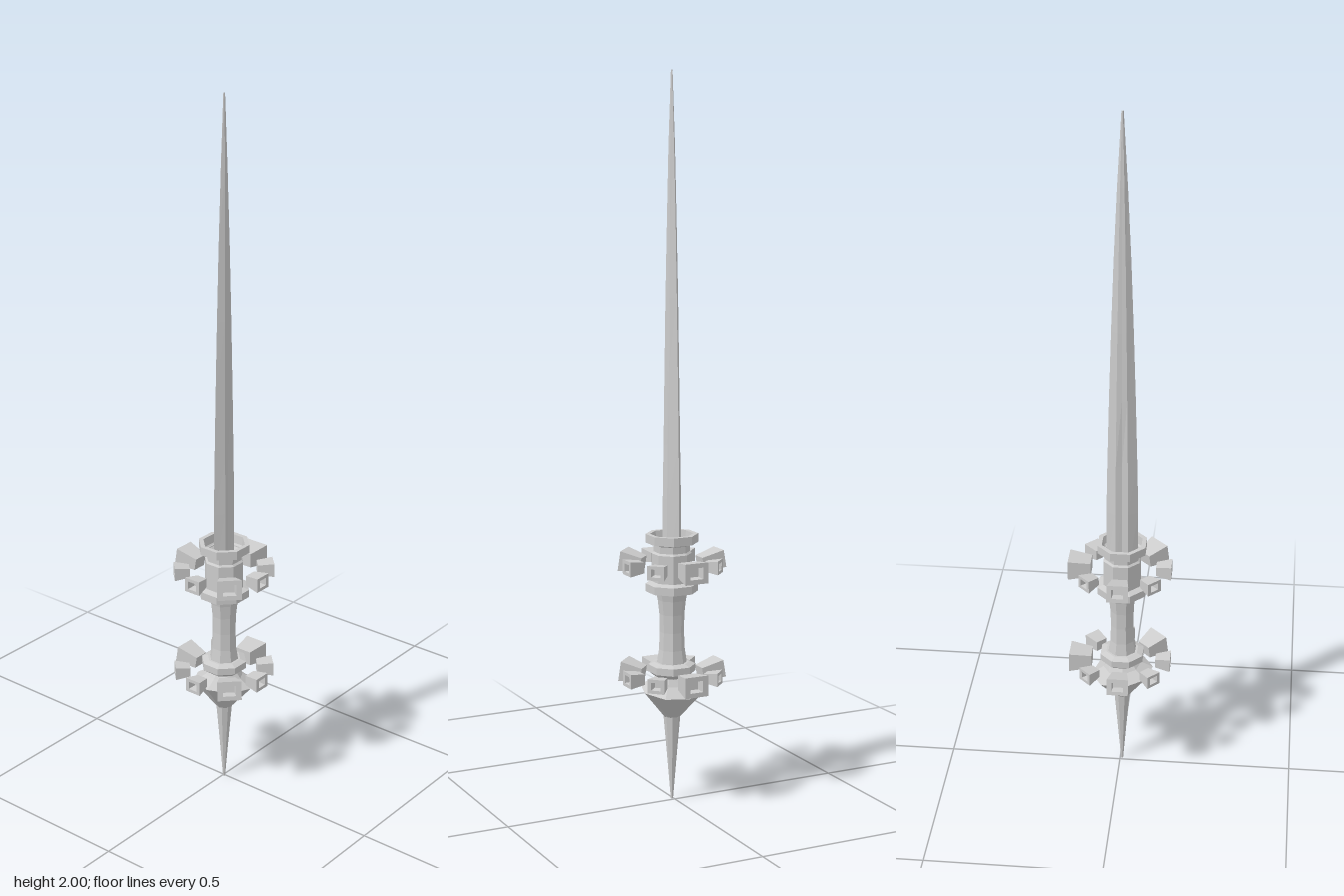
import * as THREE from 'three';

const steel = new THREE.MeshStandardMaterial({ color: 0xcccccc, flatShading: true, side: THREE.DoubleSide });

// Skin between closed loops of [x, y] points stacked along z, capped at both ends
function loft(loops) {
  const n = loops[0].points.length, pos = [], idx = [];
  loops.forEach(({ points, z }) => points.forEach(([x, y]) => pos.push(x, y, z)));
  for (let k = 0; k < loops.length - 1; k++) {
    for (let i = 0; i < n; i++) {
      const a = k * n + i, b = k * n + (i + 1) % n;
      idx.push(a, b, b + n, a, b + n, a + n);
    }
  }
  const last = (loops.length - 1) * n;
  for (let i = 1; i < n - 1; i++) idx.push(0, i + 1, i, last, last + i, last + i + 1);
  const g = new THREE.BufferGeometry();
  g.setAttribute('position', new THREE.Float32BufferAttribute(pos, 3));
  g.setIndex(idx);
  const flat = g.toNonIndexed();
  flat.computeVertexNormals();
  return flat;
}

// Eight-sided turned part; profile radii are measured to the flats
function turned(name, profile, twist = Math.PI / 8) {
  const pts = profile.map(([r, y]) => new THREE.Vector2(r / Math.cos(Math.PI / 8), y));
  const mesh = new THREE.Mesh(new THREE.LatheGeometry(pts, 8, twist), steel);
  mesh.name = name;
  return mesh;
}

// Flared block with a recessed outer face, pointing along +z
function flaredBlock(r0, r1, w0, w1) {
  const rect = (w) => [[-w, -w * 0.82], [w, -w * 0.82], [w, w * 0.82], [-w, w * 0.82]];
  const geometry = loft([
    { points: rect(w0), z: r0 },
    { points: rect(w1), z: r1 },
    { points: rect(w1 * 0.55), z: r1 },
    { points: rect(w1 * 0.48), z: r1 - 0.025 },
  ]);
  return new THREE.Mesh(geometry, steel);
}

// Ring of eight blocks: angle step, inner/outer radius, inner/outer half width, tilt
const BLOCKS = [
  [0, 0.092, 0.137, 0.018, 0.025, 0],
  [1, 0.093, 0.138, 0.018, 0.024, 0],
  [2, 0.087, 0.15, 0.025, 0.035, 0],
  [3, 0.097, 0.139, 0.015, 0.023, 0],
  [4, 0.086, 0.15, 0.021, 0.03, 0.17],
  [5, 0.097, 0.139, 0.016, 0.023, 0],
  [6, 0.096, 0.139, 0.016, 0.025, 0],
  [7, 0.083, 0.142, 0.022, 0.034, 0.15],
];

function blockRing(name, y) {
  const ring = new THREE.Group();
  ring.name = name;
  for (const [step, r0, r1, w0, w1, tilt] of BLOCKS) {
    const arm = new THREE.Group();
    arm.name = 'ringBlock';
    arm.rotation.y = step * Math.PI / 4;
    const block = flaredBlock(r0, r1, w0, w1);
    block.name = 'flaredBlock';
    // Tilt about the middle of the block
    const mid = (r0 + r1) / 2;
    block.geometry.translate(0, 0, -mid);
    block.position.z = mid;
    block.rotation.x = -tilt;
    arm.add(block);
    ring.add(arm);
  }
  ring.position.y = y;
  return ring;
}

export function createModel() {
  const model = new THREE.Group();
  model.name = 'spikedDagger';
  const body = new THREE.Group();
  body.name = 'body';
  body.position.set(-0.006, 0, 0.006);
  model.add(body);

  // Blade: flattened section with a shallow central groove; [y, half width, half depth]
  const stations = [
    [0.66, 0.044, 0.02], [0.85, 0.044, 0.019], [1.0, 0.041, 0.017], [1.2, 0.036, 0.015],
    [1.4, 0.03, 0.013], [1.6, 0.023, 0.01], [1.8, 0.014, 0.007], [2.0, 0.003, 0.002],
  ];
  const blade = new THREE.Mesh(loft(stations.map(([z, w, d], k) => {
    const groove = k < 3 ? 0.75 : 0.95;
    return {
      z,
      points: [[w, 0], [w * 0.4, d], [0, d * groove], [-w * 0.4, d],
        [-w, 0], [-w * 0.4, -d], [0, -d * groove], [w * 0.4, -d]],
    };
  })), steel);
  blade.geometry.rotateX(-Math.PI / 2);
  blade.name = 'blade';
  body.add(blade);

  // Hollow socket that holds the blade
  body.add(turned('bladeSocket', [
    [0.037, 0.592], [0.067, 0.594], [0.067, 0.616], [0.051, 0.622], [0.051, 0.7],
    [0.046, 0.705], [0.046, 0.726], [0.067, 0.73], [0.067, 0.754], [0.055, 0.754],
    [0.052, 0.73], [0.015, 0.69], [0, 0.69],
  ]));

  // Waisted grip
  body.add(turned('grip', [
    [0.04, 0.36], [0.038, 0.395], [0.033, 0.43], [0.031, 0.48], [0.032, 0.53],
    [0.036, 0.57], [0.042, 0.6],
  ]));
  body.add(turned('lowerCollar', [
    [0, 0.355], [0.044, 0.355], [0.06, 0.368], [0.06, 0.388], [0.044, 0.394], [0.03, 0.394],
  ]));

  // Pommel: double cone with a slightly slanted rim
  const pommel = turned('pommel', [
    [0, 0.238], [0.022, 0.24], [0.082, 0.318], [0.05, 0.34], [0.036, 0.36],
  ], 0.12);
  const p = pommel.geometry.attributes.position;
  for (let i = 0; i < p.count; i++) {
    if (Math.hypot(p.getX(i), p.getZ(i)) > 0.05) p.setY(i, p.getY(i) - p.getX(i) * 0.12);
  }
  body.add(pommel);

  // Bottom spike
  body.add(turned('bottomSpike', [[0, 0], [0.003, 0.002], [0.012, 0.12], [0.022, 0.245]]));

  body.add(blockRing('upperBlockRing', 0.67));
  body.add(blockRing('lowerBlockRing', 0.358));
  return model;
}
